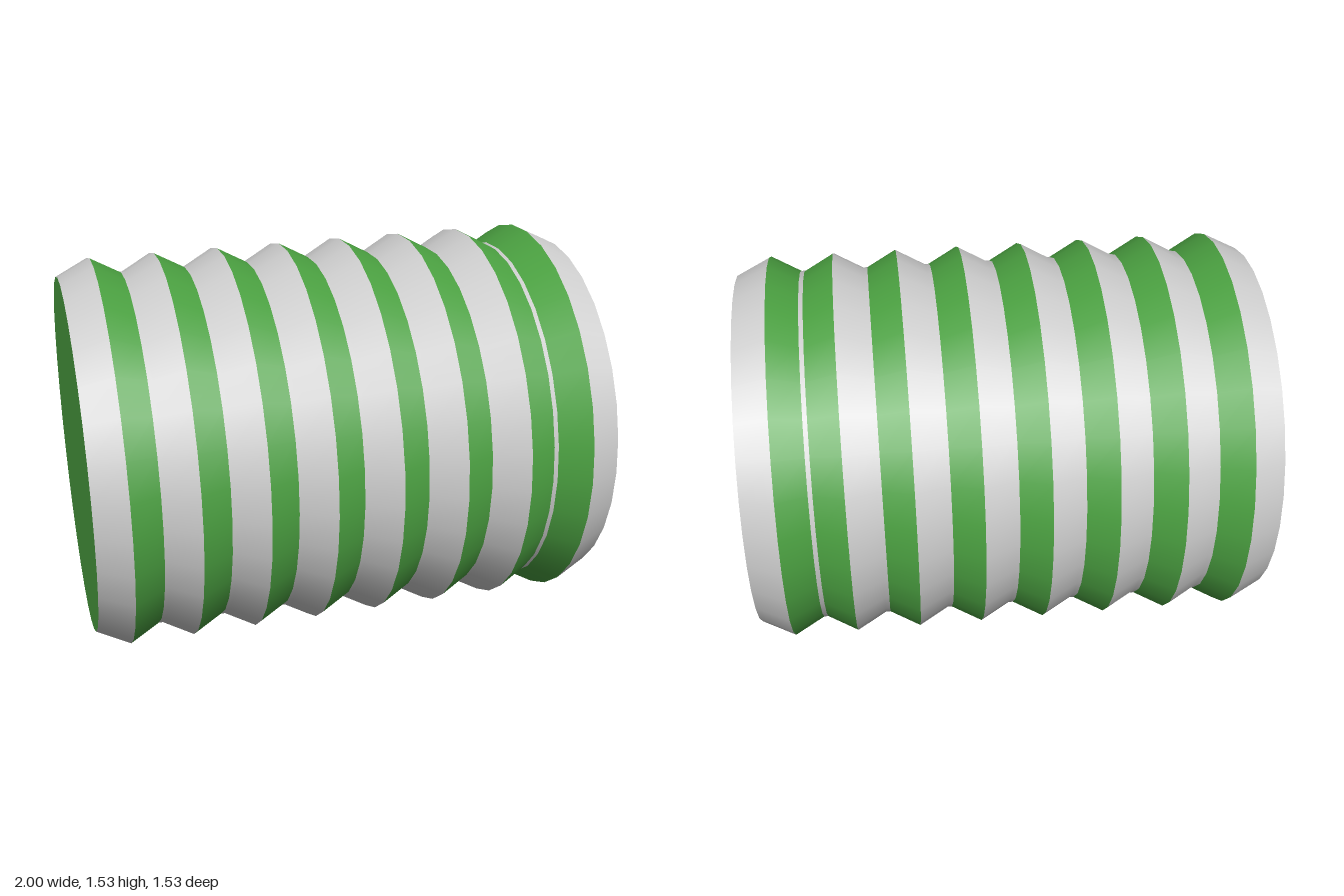
import * as THREE from 'three';

const SIDES = 32, RINGS = 8, PITCH = 0.249, FIRST = -0.872;
const PEAK = 0.767, VALLEY = 0.703, HALF = 0.116;

export function createModel() {
  const model = new THREE.Group();
  const grey = new THREE.MeshStandardMaterial({ color: 0xcccccc });
  const green = new THREE.MeshStandardMaterial({ color: 0x4a9f40 });

  // Band around the x axis, from (x0, r0) to (x1, r1), softly shaded across its edges
  function band(name, x0, r0, x1, r1, material) {
    const geo = new THREE.LatheGeometry([new THREE.Vector2(r0, x0), new THREE.Vector2(r1, x1)], SIDES);
    const p = geo.attributes.position, n = geo.attributes.normal;
    for (let i = 0; i < p.count; i++) {
      const r = Math.hypot(p.getX(i), p.getZ(i));
      n.setXYZ(i, p.getX(i) / r, 0, p.getZ(i) / r);
    }
    geo.rotateZ(-Math.PI / 2);
    const mesh = new THREE.Mesh(geo, material);
    mesh.name = name;
    return mesh;
  }

  const body = new THREE.Group();
  body.name = 'ribbedBody';
  body.position.y = PEAK;
  model.add(body);

  for (let i = 0; i < RINGS; i++) {
    const x = FIRST + i * PITCH, last = i === RINGS - 1;
    const start = i === 0 ? -1 : x - HALF, end = last ? 1 : x + HALF;
    const ring = new THREE.Group();
    ring.name = 'rib' + (i + 1);
    // The two slopes of the rib; the end rib has its colours swapped
    ring.add(band('slopeRight', start, VALLEY, x, PEAK, last ? green : grey));
    ring.add(band('slopeLeft', x, PEAK, end, VALLEY, last ? grey : green));
    // Narrow groove floor before the next rib
    if (!last) ring.add(band('groove', end, VALLEY, x + PITCH - HALF, VALLEY, grey));
    body.add(ring);
  }

  // Flat end discs
  for (const side of [-1, 1]) {
    const cap = new THREE.Mesh(new THREE.CircleGeometry(VALLEY, SIDES), green);
    cap.name = side > 0 ? 'leftCap' : 'rightCap';
    cap.rotation.y = side * Math.PI / 2;
    cap.position.x = side;
    body.add(cap);
  }
  return model;
}
